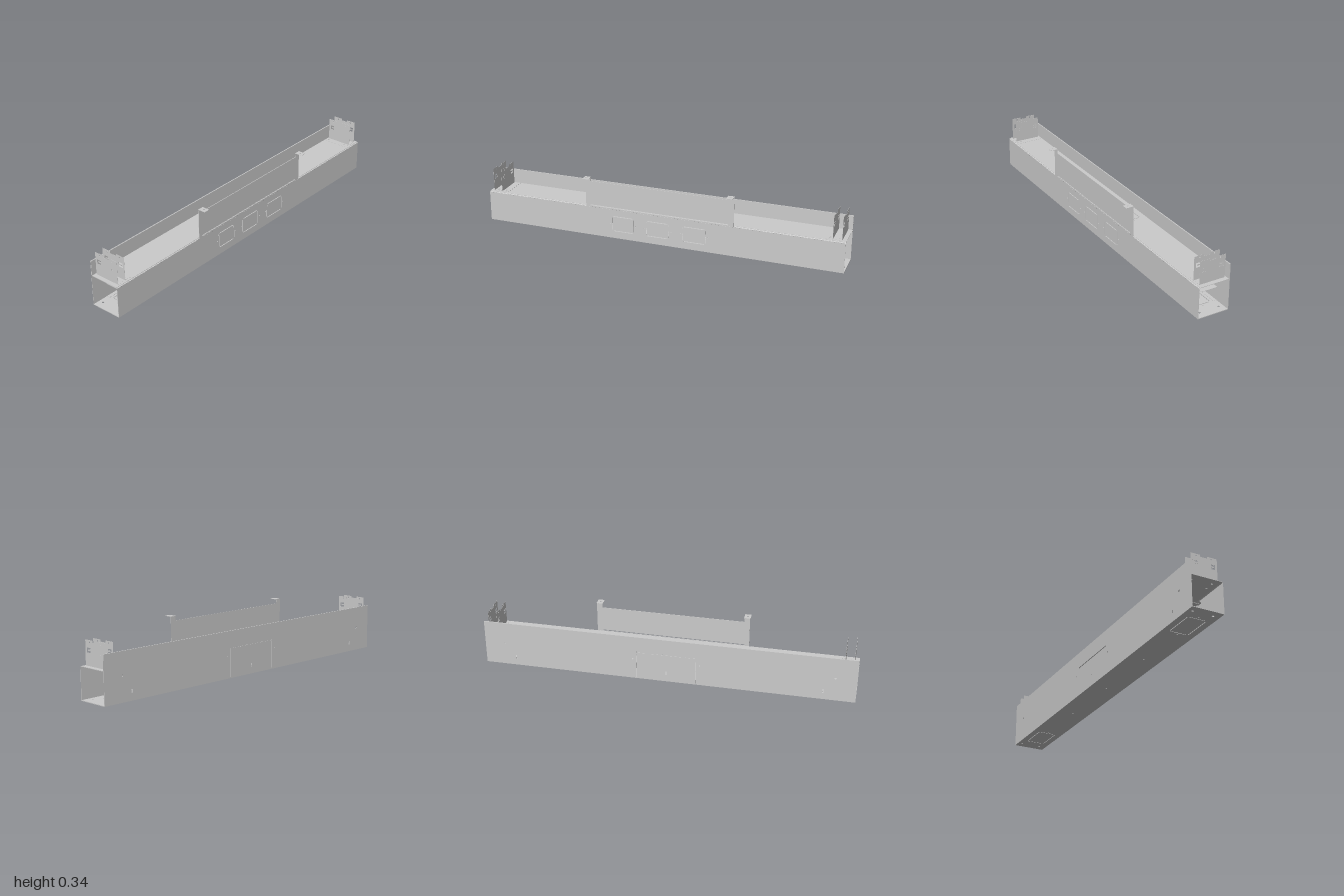
import * as THREE from 'three';

const T = 0.0025; // sheet thickness
const mat = new THREE.MeshStandardMaterial({ color: 0xcccccc, side: THREE.DoubleSide });

const poly = (pts, C = THREE.Path) => new C(pts.map(p => new THREE.Vector2(p[0], p[1])));
const rectPts = (x0, y0, x1, y1) => [[x0, y0], [x1, y0], [x1, y1], [x0, y1]];
const slot = (x0, y0, x1, y1) => poly(rectPts(x0, y0, x1, y1));
const hole = (x, y, r = 0.005) => {
  const p = new THREE.Path();
  p.absarc(x, y, r, 0, Math.PI * 2, true);
  return p;
};

// Narrow cuts outlining a knock-out panel, leaving small bridges at the sides
function knockout(x0, y0, x1, y1, s = 0.004) {
  const g = 0.008;
  return [
    slot(x0 + g, y1 - s, x1 - g, y1), slot(x0 + g, y0, x1 - g, y0 + s),
    slot(x0, y0 + g, x0 + s, y1 - g), slot(x1 - s, y0 + g, x1, y1 - g),
    hole(x0 - 0.011, (y0 + y1) / 2, 0.003), hole(x1 + 0.011, (y0 + y1) / 2, 0.003)
  ];
}

// Flat sheet from an outline; plane: 'front' (x,y), 'flat' (x,z) or 'side' (z,y)
function sheet(parent, name, outline, holes, plane, at, t = T) {
  const shape = poly(outline, THREE.Shape);
  shape.holes.push(...holes);
  const geo = new THREE.ExtrudeGeometry(shape, { depth: t, bevelEnabled: false, curveSegments: 8 });
  if (plane === 'flat') geo.rotateX(Math.PI / 2).translate(0, at, 0);
  else if (plane === 'side') geo.rotateY(-Math.PI / 2).translate(at + t / 2, 0, 0);
  else geo.translate(0, 0, at);
  const mesh = new THREE.Mesh(geo, mat);
  mesh.name = name;
  parent.add(mesh);
  return mesh;
}

function box(parent, name, x0, x1, y0, y1, z0, z1) {
  const mesh = new THREE.Mesh(new THREE.BoxGeometry(x1 - x0, y1 - y0, z1 - z0), mat);
  mesh.position.set((x0 + x1) / 2, (y0 + y1) / 2, (z0 + z1) / 2);
  mesh.name = name;
  parent.add(mesh);
  return mesh;
}

// Upright end plate with top notch, screw holes and C-shaped hooks
function endPlate(parent, x) {
  const c = -0.02, b = 0.172, h = 0.297;
  const outline = [[-0.072, b], [0.072, b], [0.072, h], [0.019, h], [0.019, h - 0.01],
    [-0.019, h - 0.01], [-0.019, h], [-0.072, h]].map(([u, y]) => [u + c, y]);
  const holes = [];
  for (const s of [-1, 1]) {
    holes.push(hole(c + s * 0.041, 0.287, 0.004));
    holes.push(poly([[0.035, 0.236], [0.061, 0.236], [0.061, 0.26], [0.035, 0.26],
      [0.035, 0.252], [0.054, 0.252], [0.054, 0.245], [0.035, 0.245]].map(([u, y]) => [c + s * u, y])));
  }
  sheet(parent, 'endPlate', outline, holes, 'side', x, 0.001);
}

export function createModel() {
  const group = new THREE.Group();
  group.name = 'mountingChannel';
  const xs = [-0.2, 0, 0.2];
  const outlets = [[-0.265, -0.14], [-0.07, 0.06], [0.135, 0.265]];

  // Front wall with raised centre panel
  sheet(group, 'frontWall',
    [[-1, 0.002], [1, 0.002], [1, 0.166], [0.415, 0.166], [0.415, 0.335], [0.385, 0.335], [0.385, 0.312],
      [-0.385, 0.312], [-0.385, 0.335], [-0.415, 0.335], [-0.415, 0.166], [-1, 0.166]],
    [...outlets.flatMap(([a, b]) => knockout(a, 0.04, b, 0.128)), slot(-0.39, 0.171, 0.385, 0.177)],
    'front', 0.0645);
  for (const s of [-1, 1]) {
    sheet(group, 'hangingTab', rectPts(s * 0.4 - 0.017, 0.065, s * 0.4 + 0.017, 0.108),
      [hole(s * 0.4, 0.088)], 'flat', 0.336, 0.0015);
  }

  // Rear wall with access door cut and locating slits
  const backHoles = [slot(-0.16, 0.158, 0.16, 0.163), hole(-0.18, 0.118, 0.004), hole(0.18, 0.118, 0.004)];
  for (const s of [-1, 1]) {
    backHoles.push(slot(s * 0.16 - 0.0015, 0.006, s * 0.16 + 0.0015, 0.154), hole(s * 0.89, 0.132, 0.006));
  }
  for (const x of [-0.83, 0, 0.83]) {
    backHoles.push(slot(x - 0.003, 0.038, x + 0.003, 0.06));
    const tongue = box(group, 'rearTongue', x - 0.003, x + 0.003, 0.038, 0.06, -0.102, -0.101);
    tongue.rotation.x = 0.25;
  }
  sheet(group, 'rearWall', rectPts(-1, 0.002, 1, 0.249), backHoles, 'front', -0.1065, 0.002);
  box(group, 'rearHem', -1, 1, 0.17, 0.249, -0.1025, -0.101);
  box(group, 'rearHemFold', -1, 1, 0.248, 0.25, -0.1065, -0.101);

  // Top shelf with knock-outs and corner screw holes
  const shelfHoles = outlets.flatMap(([a, b]) => knockout(a, -0.07, b, 0.016));
  const floorHoles = [];
  for (const s of [-1, 1]) {
    for (const z of [-0.08, 0.03]) {
      for (const x of [0.915, 0.96]) shelfHoles.push(hole(s * x, z, 0.006));
      floorHoles.push(hole(s * 0.96, z, 0.006));
    }
    floorHoles.push(...knockout(s * 0.82 - 0.085, -0.072, s * 0.82 + 0.085, 0.032));
  }
  sheet(group, 'topShelf', rectPts(-1, -0.1025, 1, 0.062), shelfHoles, 'flat', 0.17);

  // Floor
  for (const x of xs) floorHoles.push(hole(x * 2, -0.02, 0.004));
  sheet(group, 'floor', rectPts(-1, -0.1065, 1, 0.067), floorHoles, 'flat', 0.0035, 0.0035);

  // Bent front lip joining shelf and front wall
  const lip = box(group, 'frontLip', -1, 1, -0.001, 0.001, -0.005, 0.005);
  lip.position.set(0, 0.1665, 0.0625);
  lip.rotation.x = 0.6;
  for (const x of [-0.8, -0.2, 0.12, 0.8]) {
    const tab = box(group, 'lipTab', x - 0.015, x + 0.015, -0.0007, 0.0007, -0.009, 0.009);
    tab.position.set(x, 0.15, 0.057);
    tab.rotation.x = 0.75;
  }

  // Inner liner behind the front openings
  box(group, 'linerTop', -0.32, 0.32, 0.154, 0.1555, 0.043, 0.065);
  box(group, 'linerBottom', -0.32, 0.32, 0.016, 0.0175, 0.043, 0.065);

  // Inner divider along the rear wall
  box(group, 'dividerShelf', -0.91, 0.91, 0.0765, 0.0785, -0.1035, -0.012);
  box(group, 'dividerFoot', -0.91, 0.91, 0.0035, 0.005, -0.1035, -0.085);

  // Pairs of upright brackets at both ends
  for (const s of [-1, 1]) {
    const bracket = new THREE.Group();
    bracket.name = s > 0 ? 'leftBracket' : 'rightBracket';
    for (const [x, inner] of [[0.93, 0.893], [0.978, 0.941]]) {
      endPlate(bracket, s * x);
      sheet(bracket, 'bracketFoot', rectPts(s * x, -0.092, s * inner, 0.052),
        [-0.08, 0.03].map(z => hole(s * (x === 0.93 ? 0.915 : 0.96), z, 0.006)), 'flat', 0.1725, 0.001);
    }
    group.add(bracket);
  }
  return group;
}
